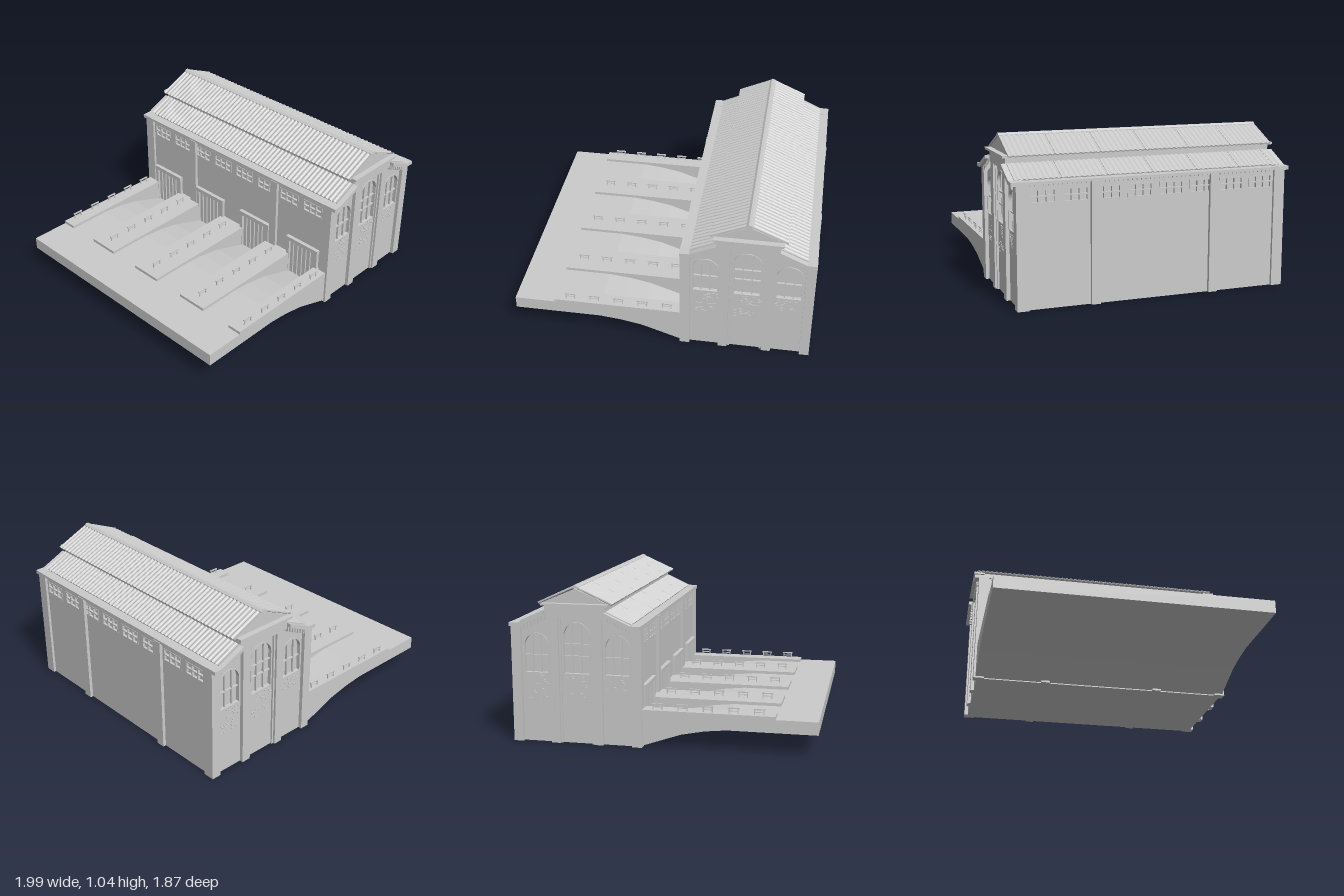
import * as THREE from 'three';
import { mergeGeometries } from 'three/addons/utils/BufferGeometryUtils.js';

const mat = new THREE.MeshStandardMaterial({ color: 0xcccccc, flatShading: true });

function add(parent, name, geo) {
  const m = new THREE.Mesh(geo, mat);
  m.name = name;
  parent.add(m);
  return m;
}

function boxGeo(x0, x1, y0, y1, z0, z1) {
  return new THREE.BoxGeometry(x1 - x0, y1 - y0, z1 - z0)
    .translate((x0 + x1) / 2, (y0 + y1) / 2, (z0 + z1) / 2);
}
const box = (parent, name, ...b) => add(parent, name, boxGeo(...b));

// Flat outline pushed from z0 to z1
function slab(shape, z0, z1) {
  return new THREE.ExtrudeGeometry(shape, { depth: z1 - z0, bevelEnabled: false, curveSegments: 12 })
    .translate(0, 0, z0);
}
const poly = (pts) => new THREE.Shape(pts.map(([x, y]) => new THREE.Vector2(x, y)));
const mirrored = (half) => poly([...half, ...half.map(([x, y]) => [-x, y]).reverse()]);

// Round-headed opening
function arch(Type, cx, r, y0, spring) {
  const p = new Type();
  p.moveTo(cx - r, y0);
  p.lineTo(cx + r, y0);
  p.lineTo(cx + r, spring);
  p.absarc(cx, spring, r, 0, Math.PI, false);
  p.lineTo(cx - r, y0);
  return p;
}

function archWindow(parent, cx, r, y0, spring) {
  const frame = arch(THREE.Shape, cx, r, y0, spring);
  frame.holes.push(arch(THREE.Path, cx, r - 0.008, y0 + 0.008, spring));
  const parts = [];
  for (const s of [-1, 1]) {
    const x = cx + s * r / 3;
    parts.push(boxGeo(x - 0.004, x + 0.004, y0, spring + r * 0.9, 0.862, 0.876));
  }
  const rows = spring > 0.68 ? [0.575, 0.655] : [0.575];
  for (const y of rows) parts.push(boxGeo(cx - r, cx + r, y - 0.004, y + 0.004, 0.862, 0.876));
  add(parent, 'archedWindowFrame', slab(frame, 0.86, 0.886));
  add(parent, 'archedWindowBars', mergeGeometries(parts));
}

// Rows of exposed bricks in a ragged patch
let seed = 7;
const rand = () => (seed = (seed * 16807) % 2147483647) / 2147483647;
function brickPatch(parent, x0, x1, y0, y1, density) {
  const parts = [];
  for (let row = 0, y = y0; y < y1; y += 0.013, row++)
    for (let x = x0 + (row % 2) * 0.011; x < x1 - 0.018; x += 0.022)
      if (rand() < density) parts.push(boxGeo(x, x + 0.018, y, y + 0.008, 0.878, 0.884));
  if (parts.length) add(parent, 'exposedBricks', mergeGeometries(parts));
}

// End wall, facing +z, centred on the ridge
function gable() {
  const g = new THREE.Group();
  g.name = 'gableWall';
  const wall = mirrored([[0.4, 0], [0.4, 0.78], [0.37, 0.785], [0.2, 0.865], [0.2, 0.91]]);
  const windows = [[-0.27, 0.086, 0.455, 0.64], [0, 0.092, 0.455, 0.71], [0.27, 0.086, 0.455, 0.64]];
  for (const w of windows) {
    wall.holes.push(arch(THREE.Path, ...w));
    archWindow(g, ...w);
  }
  add(g, 'gablePlate', slab(wall, 0.86, 0.88));
  box(g, 'gableHead', -0.2, 0.2, 0.83, 0.915, 0.86, 0.905);
  box(g, 'cornice', -0.22, 0.22, 0.91, 0.925, 0.85, 0.93);
  add(g, 'pediment', slab(poly([[-0.225, 0.922], [0.225, 0.922], [0, 1.018]]), 0.85, 0.892));
  for (const s of [-1, 1]) {
    const side = (name, a, b, ...rest) => box(g, name, Math.min(s * a, s * b), Math.max(s * a, s * b), ...rest);
    side('cornerPilaster', 0.368, 0.4325, 0, 0.78, 0.83, 0.905);
    side('innerPilaster', 0.115, 0.175, 0, 0.84, 0.86, 0.905);
    side('panelTrim', 0.1, 0.112, 0, 0.83, 0.86, 0.893);
    // Stepped coping over the side bay
    const coping = poly([[0.4325, 0.77], [0.4325, 0.795], [0.37, 0.797], [0.2, 0.875], [0.2, 0.85], [0.365, 0.772]]
      .map(([x, y]) => [s * x, y]));
    add(g, 'coping', slab(coping, 0.85, 0.935));
    // Hanging blocks under the slope
    for (let i = 0; i < 7; i++) {
      const x = 0.2 + i * 0.024, y = 0.858 - i * 0.0113;
      side('dentil', x, x + 0.013, y - 0.045, y, 0.875, 0.912);
    }
  }
  brickPatch(g, -0.34, -0.2, 0.28, 0.35, 0.4);
  brickPatch(g, -0.29, -0.18, 0.38, 0.45, 0.45);
  brickPatch(g, -0.08, 0.06, 0.26, 0.33, 0.4);
  brickPatch(g, -0.04, 0.1, 0.37, 0.46, 0.45);
  brickPatch(g, 0.18, 0.36, 0.35, 0.44, 0.4);
  return g;
}

// Long wall, facing +x, with a row of small high windows
function longWall() {
  const g = new THREE.Group();
  g.name = 'longWall';
  const wall = poly([[-0.86, 0], [0.86, 0], [0.86, 0.78], [-0.86, 0.78]]);
  const bars = [];
  for (let i = 0; i < 8; i++) {
    const z = -0.735 + i * 0.21, w = 0.078;
    wall.holes.push(new THREE.Path([[-w, 0.66], [w, 0.66], [w, 0.74], [-w, 0.74]]
      .map(([dz, y]) => new THREE.Vector2(z + dz, y))));
    for (const dz of [-w, -w / 3, w / 3, w])
      bars.push(boxGeo(0.402, 0.418, 0.655, 0.745, z + dz - 0.004, z + dz + 0.004));
    for (const y of [0.66, 0.7, 0.74])
      bars.push(boxGeo(0.402, 0.418, y - 0.004, y + 0.004, z - w, z + w));
  }
  add(g, 'wallPlate', slab(wall, 0.4, 0.415).rotateY(Math.PI / 2));
  add(g, 'highWindows', mergeGeometries(bars));
  for (const z of [-0.4, 0.4]) box(g, 'wallPilaster', 0.4, 0.437, 0, 0.78, z - 0.03, z + 0.03);
  box(g, 'eaveLedge', 0.36, 0.4325, 0.775, 0.793, -0.9, 0.9);
  const blocks = [];
  for (let z = -0.81; z < 0.82; z += 0.03) blocks.push(boxGeo(0.41, 0.425, 0.765, 0.776, z - 0.008, z + 0.008));
  add(g, 'eaveBlocks', mergeGeometries(blocks));
  return g;
}

// Corrugated sheets from the eave (x0, y0) to the top (x1, y1)
function roofSlope(parent, name, x0, y0, x1, y1) {
  const len = Math.hypot(x1 - x0, y1 - y0);
  for (let i = 0; i < 6; i++) {
    const geo = new THREE.BoxGeometry(len, 0.009, 0.298, 1, 1, 54);
    const p = geo.attributes.position;
    for (let k = 0; k < p.count; k++)
      p.setY(k, p.getY(k) + 0.0035 * Math.cos(p.getZ(k) * Math.PI * 2 * 9 / 0.3));
    geo.rotateZ(Math.atan2(y1 - y0, x1 - x0));
    geo.translate((x0 + x1) / 2, (y0 + y1) / 2, -0.75 + i * 0.3);
    add(parent, name, geo);
  }
}

// Slatted loading door on the dock side, facing -x
function dockDoor(z) {
  const g = new THREE.Group();
  g.name = 'loadingDoor';
  for (const s of [-1, 1]) box(g, 'doorJamb', -0.438, -0.4, 0.05, 0.38, z + s * 0.125 - 0.012, z + s * 0.125 + 0.012);
  box(g, 'doorLintel', -0.442, -0.4, 0.365, 0.395, z - 0.14, z + 0.14);
  for (let i = 0; i < 6; i++) {
    const c = z - 0.095 + i * 0.038;
    box(g, 'doorSlat', -0.426, -0.4, 0.05, 0.37, c - 0.012, c + 0.012);
  }
  return g;
}

// Low barrier: two legs and two rails
function barrier(x, z) {
  return mergeGeometries([
    boxGeo(x - 0.032, x - 0.026, 0.25, 0.288, z - 0.004, z + 0.004),
    boxGeo(x + 0.026, x + 0.032, 0.25, 0.288, z - 0.004, z + 0.004),
    boxGeo(x - 0.037, x + 0.037, 0.282, 0.29, z - 0.005, z + 0.005),
    boxGeo(x - 0.032, x + 0.032, 0.265, 0.27, z - 0.003, z + 0.003),
  ]);
}

function dock() {
  const g = new THREE.Group();
  g.name = 'loadingDock';
  const sag = [[-0.42, 0.145], [-0.28, 0.13], [-0.13, 0.1], [0, 0.055], [0.14, 0.006]];
  const lifted = sag.map(([x, y]) => [x, y + 0.085]).reverse();
  add(g, 'roadway', slab(poly([[-1, 0.145], ...sag, ...lifted, [-1, 0.23]]), -0.89, 0.89));
  const rows = [[-0.89, -0.79, -0.865], [-0.56, -0.34, -0.45], [-0.11, 0.11, 0], [0.34, 0.56, 0.45], [0.79, 0.89, 0.86]];
  for (const [z0, z1, zb] of rows) {
    const outline = poly([[-0.73, 0.18], ...sag.map(([x, y]) => [x, y + 0.02]), [0.14, 0.25], [-0.73, 0.25]]);
    add(g, 'platform', slab(outline, z0, z1));
    for (let i = 0; i < 5; i++) add(g, 'barrier', barrier(-0.625 + i * 0.164, zb));
  }
  return g;
}

export function createModel() {
  const model = new THREE.Group();
  model.name = 'depot';
  const hall = new THREE.Group();
  hall.name = 'hall';
  hall.position.x = 0.5575;

  // Core with ledge, side slopes and raised middle
  const core = mirrored([[0.4, 0], [0.4, 0.78], [0.37, 0.782], [0.2, 0.858], [0.2, 0.925], [0, 1.015]]);
  add(hall, 'core', slab(core, -0.86, 0.86));

  for (const turn of [0, Math.PI]) {
    const end = gable(), side = longWall(), roof = new THREE.Group();
    roof.name = 'roofHalf';
    roofSlope(roof, 'lowerRoofSheet', 0.368, 0.796, 0.198, 0.872);
    roofSlope(roof, 'upperRoofSheet', 0.243, 0.922, 0, 1.03);
    for (const part of [end, side, roof]) {
      part.rotation.y = turn;
      hall.add(part);
    }
  }
  add(hall, 'ridgeCap', slab(mirrored([[0.022, 1.02], [0.022, 1.029], [0.008, 1.04]]), -0.9, 0.9));
  for (const z of [-0.675, -0.225, 0.225, 0.675]) hall.add(dockDoor(z));

  model.add(hall, dock());
  return model;
}
